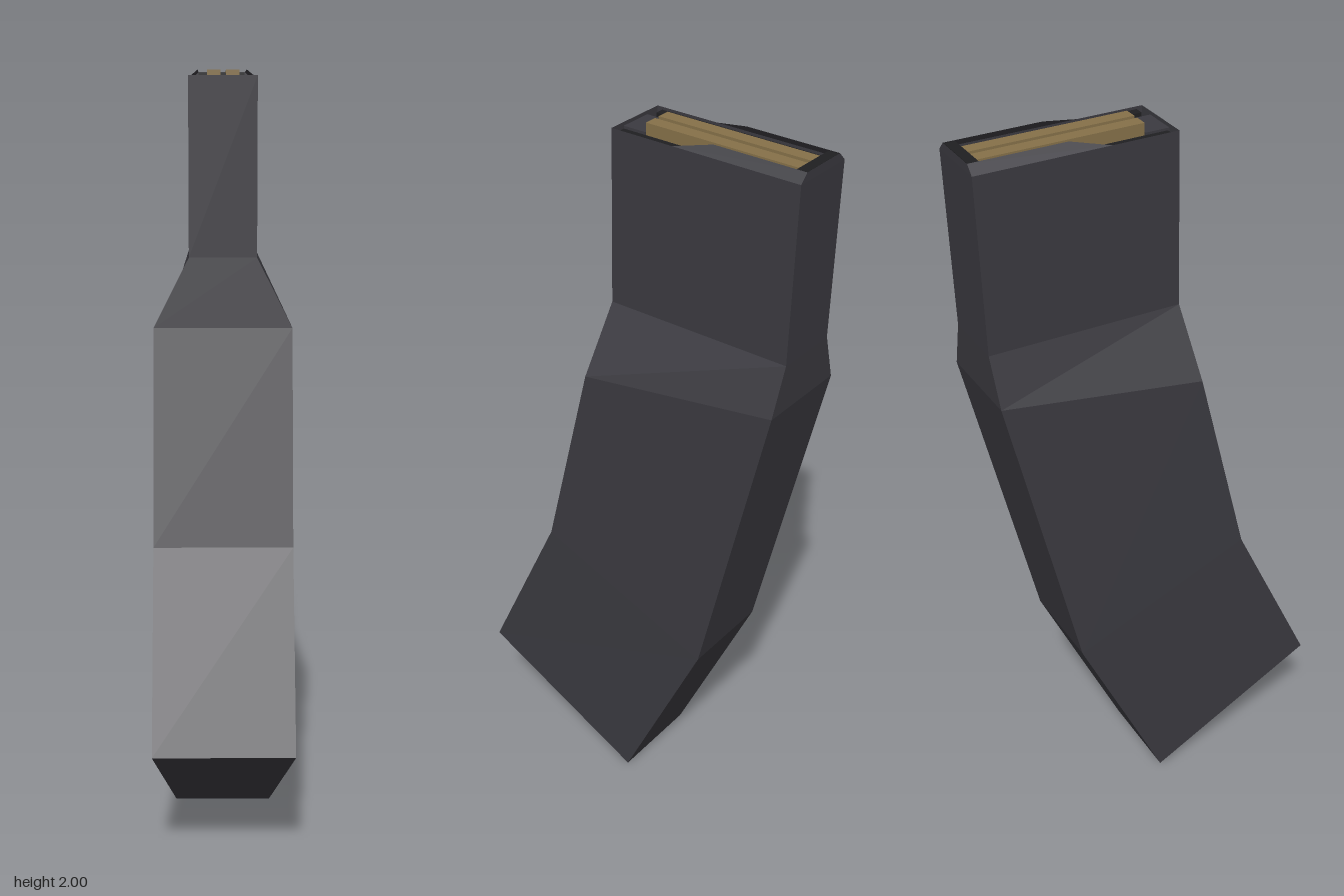
import * as THREE from 'three';

const body = new THREE.MeshStandardMaterial({ color: 0x3b3a40, side: THREE.DoubleSide, flatShading: true });
body.name = 'charcoal shell';
const dark = new THREE.MeshStandardMaterial({ color: 0x1f1f21, flatShading: true });
dark.name = 'dark interior';
const brass = new THREE.MeshStandardMaterial({ color: 0x867149, flatShading: true });
brass.name = 'dull brass';

// Lofts four-cornered rings; each row is
// [front half width, front y, front z, back half width, back y, back z]
function loft(rows) {
  const pos = [];
  const idx = [];
  for (const [fw, fy, fz, bw, by, bz] of rows) {
    pos.push(fw, fy, fz, bw, by, bz, -bw, by, bz, -fw, fy, fz);
  }
  for (let r = 0; r < rows.length - 1; r++) {
    for (let i = 0; i < 4; i++) {
      const a = r * 4 + i, b = r * 4 + (i + 1) % 4;
      idx.push(a, b, b + 4, a, b + 4, a + 4);
    }
  }
  idx.push(0, 2, 1, 0, 3, 2); // slanted base
  return fromFaces(pos, idx);
}

function fromFaces(pos, idx) {
  const g = new THREE.BufferGeometry();
  g.setAttribute('position', new THREE.Float32BufferAttribute(pos, 3));
  g.setIndex(idx);
  const flat = g.toNonIndexed();
  flat.computeVertexNormals();
  return flat;
}

export function createModel() {
  const group = new THREE.Group();
  const add = (name, geometry, material) => {
    const mesh = new THREE.Mesh(geometry, material);
    mesh.name = name;
    group.add(mesh);
    return mesh;
  };
  const box = (name, material, x0, x1, y0, y1, z0, z1) => {
    const m = add(name, new THREE.BoxGeometry(x1 - x0, y1 - y0, z1 - z0), material);
    m.position.set((x0 + x1) / 2, (y0 + y1) / 2, (z0 + z1) / 2);
  };

  // Curved hollow shell with a narrow neck, open at the top
  add('curvedShell', loft([
    [0.18, 0.31, 0.46, 0.13, 0, 0.01],
    [0.18, 0.79, 0.23, 0.13, 0.54, -0.24],
    [0.18, 1.34, 0.09, 0.13, 1.39, -0.44],
    [0.088, 1.52, 0.073, 0.088, 1.52, -0.446],
    [0.088, 1.978, 0.066, 0.088, 1.978, -0.46],
  ]), body);

  // Inward-sloping lips along the rear of the opening
  for (const s of [1, -1]) {
    const pos = [
      s * 0.088, 1.978, -0.11,
      s * 0.066, 2, -0.21,
      s * 0.066, 2, -0.46,
      s * 0.088, 1.978, -0.46,
    ];
    const idx = s > 0 ? [0, 2, 1, 0, 3, 2] : [0, 1, 2, 0, 2, 3];
    add(s > 0 ? 'leftLip' : 'rightLip', fromFaces(pos, idx), body);
  }

  // Rear wall rising between the lips
  add('rearLip', fromFaces([
    0.088, 1.978, -0.46, -0.088, 1.978, -0.46,
    -0.066, 2, -0.46, 0.066, 2, -0.46,
  ], [0, 1, 2, 0, 2, 3]), body);
  box('rearLining', dark, -0.065, 0.065, 1.93, 1.998, -0.457, -0.43);

  // Recessed interior
  box('recessFloor', dark, -0.086, 0.086, 1.92, 1.95, -0.455, 0.063);
  for (const s of [1, -1]) {
    const a = s * 0.062, b = s * 0.086;
    box(s > 0 ? 'leftLining' : 'rightLining', dark,
      Math.min(a, b), Math.max(a, b), 1.93, 1.972, -0.455, 0.05);
  }
  box('frontLedge', body, -0.045, 0.045, 1.93, 1.97, 0, 0.064);

  // Two brass strips lying side by side in the opening
  box('rightBrassStrip', brass, -0.041, -0.006, 1.94, 1.993, -0.43, 0);
  box('leftBrassStrip', brass, 0.008, 0.043, 1.94, 1.993, -0.43, 0);
  box('stripDivider', dark, -0.006, 0.008, 1.94, 1.985, -0.43, 0);

  return group;
}
